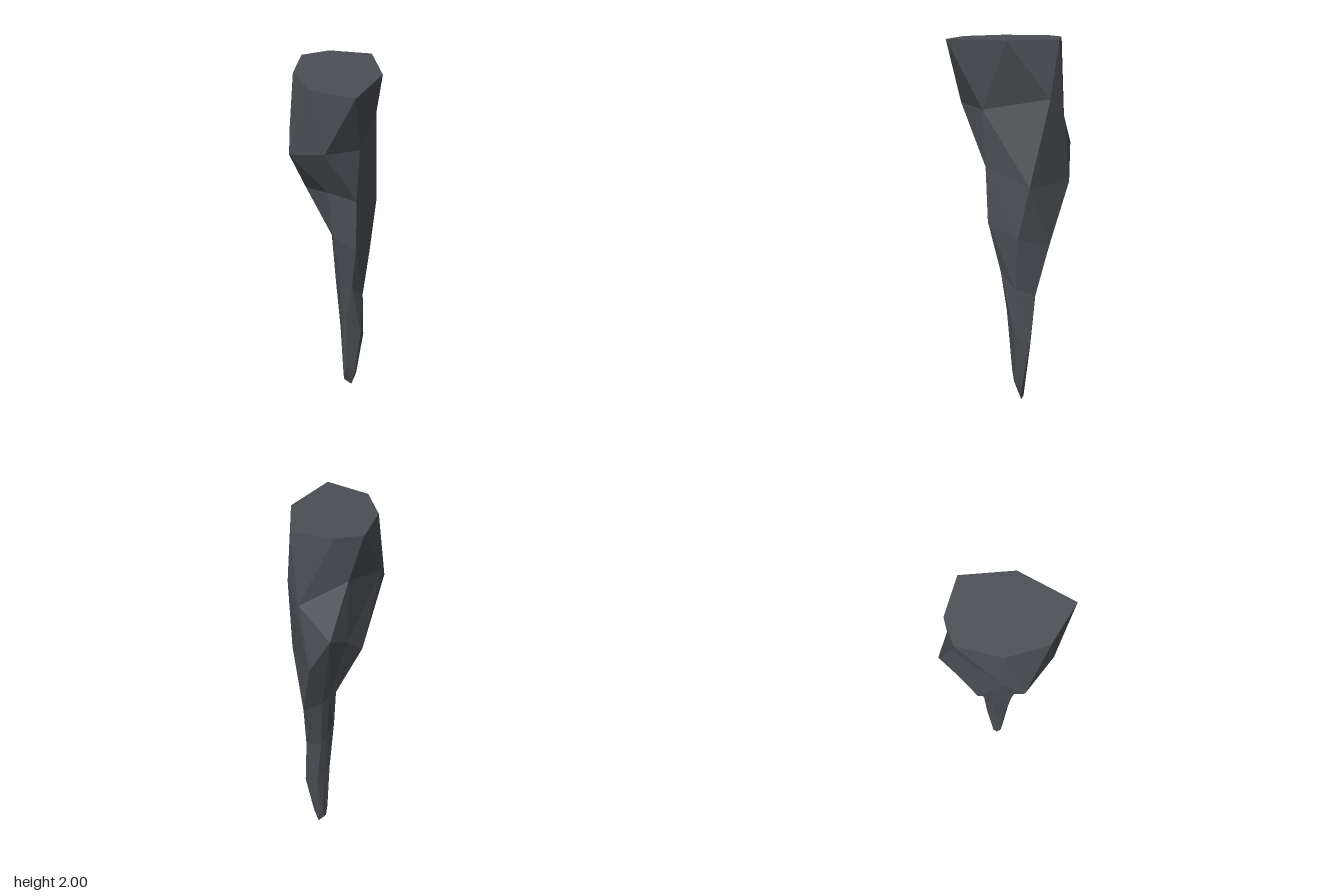
import * as THREE from 'three';

// Rim of the flat top, (x, z), counter-clockwise seen from above
const rim = [[-0.19, 0.12], [-0.03, 0.29], [0.227, 0.305], [0.243, -0.03],
  [0.09, -0.275], [-0.135, -0.232], [-0.245, -0.12]];

// Seven-sided cross-sections going down, (x, y, z)
const sections = [
  // shoulder
  [[-0.21, 1.68, 0.13], [-0.17, 1.59, 0.23], [0.05, 1.65, 0.28], [0.18, 1.63, 0.12],
    [0.135, 1.69, -0.24], [0.04, 1.595, -0.29], [-0.185, 1.745, -0.17]],
  // bulge
  [[-0.17, 1.37, -0.15], [-0.19, 1.27, -0.03], [0, 1.35, 0.125], [0.16, 1.32, 0.11],
    [0.18, 1.22, -0.14], [-0.03, 1.23, -0.305], [-0.145, 1.43, -0.283]],
  // waist
  [[-0.045, 0.96, -0.13], [-0.07, 0.99, -0.1], [0.03, 1.07, 0.11], [0.155, 1.02, 0.1],
    [0.17, 0.93, -0.07], [0.064, 0.89, -0.22], [-0.02, 0.93, -0.16]],
  // upper spike
  [[0, 0.66, -0.08], [-0.015, 0.72, -0.03], [0.04, 0.75, 0.05], [0.11, 0.73, 0.04],
    [0.14, 0.65, -0.05], [0.093, 0.61, -0.15], [0.02, 0.61, -0.11]],
  // lower spike
  [[0.03, 0.37, -0.07], [0.015, 0.4, -0.03], [0.045, 0.48, 0.015], [0.065, 0.51, 0.02],
    [0.135, 0.4, -0.04], [0.118, 0.33, -0.125], [0.05, 0.31, -0.11]],
  // tip
  [[0.035, 0.05, -0.06], [0.035, 0.04, -0.04], [0.04, 0.09, -0.015], [0.06, 0.16, -0.01],
    [0.1, 0.1, -0.04], [0.095, 0.08, -0.075], [0.06, 0.02, -0.075]],
];
const apex = [0.07, 0, -0.065];

function flatMesh(name, points, index, material) {
  const geometry = new THREE.BufferGeometry();
  geometry.setAttribute('position', new THREE.Float32BufferAttribute(points.flat(), 3));
  geometry.setIndex(index);
  const faceted = geometry.toNonIndexed();
  faceted.computeVertexNormals();
  const mesh = new THREE.Mesh(faceted, material);
  mesh.name = name;
  return mesh;
}

export function createModel() {
  const group = new THREE.Group();
  group.name = 'stoneSpike';
  const stone = new THREE.MeshStandardMaterial({ color: 0x4b4f54 });
  stone.name = 'dark slate';
  stone.flatShading = true;

  const top = rim.map(([x, z]) => [x, 2, z]);
  const rings = [top, ...sections];
  const n = rim.length;

  // Faceted sides between neighbouring sections, closed at the apex
  const sides = [];
  for (let r = 0; r < rings.length; r++) {
    for (let i = 0; i < n; i++) {
      const a = r * n + i, b = r * n + (i + 1) % n;
      if (r === rings.length - 1) sides.push(a, rings.length * n, b);
      else sides.push(a, a + n, b + n, a, b + n, b);
    }
  }
  group.add(flatMesh('spikeSides', [...rings.flat(), apex], sides, stone));

  // Flat top
  const cap = [];
  for (let i = 1; i < n - 1; i++) cap.push(0, i, i + 1);
  group.add(flatMesh('flatTop', top, cap, stone));
  return group;
}
